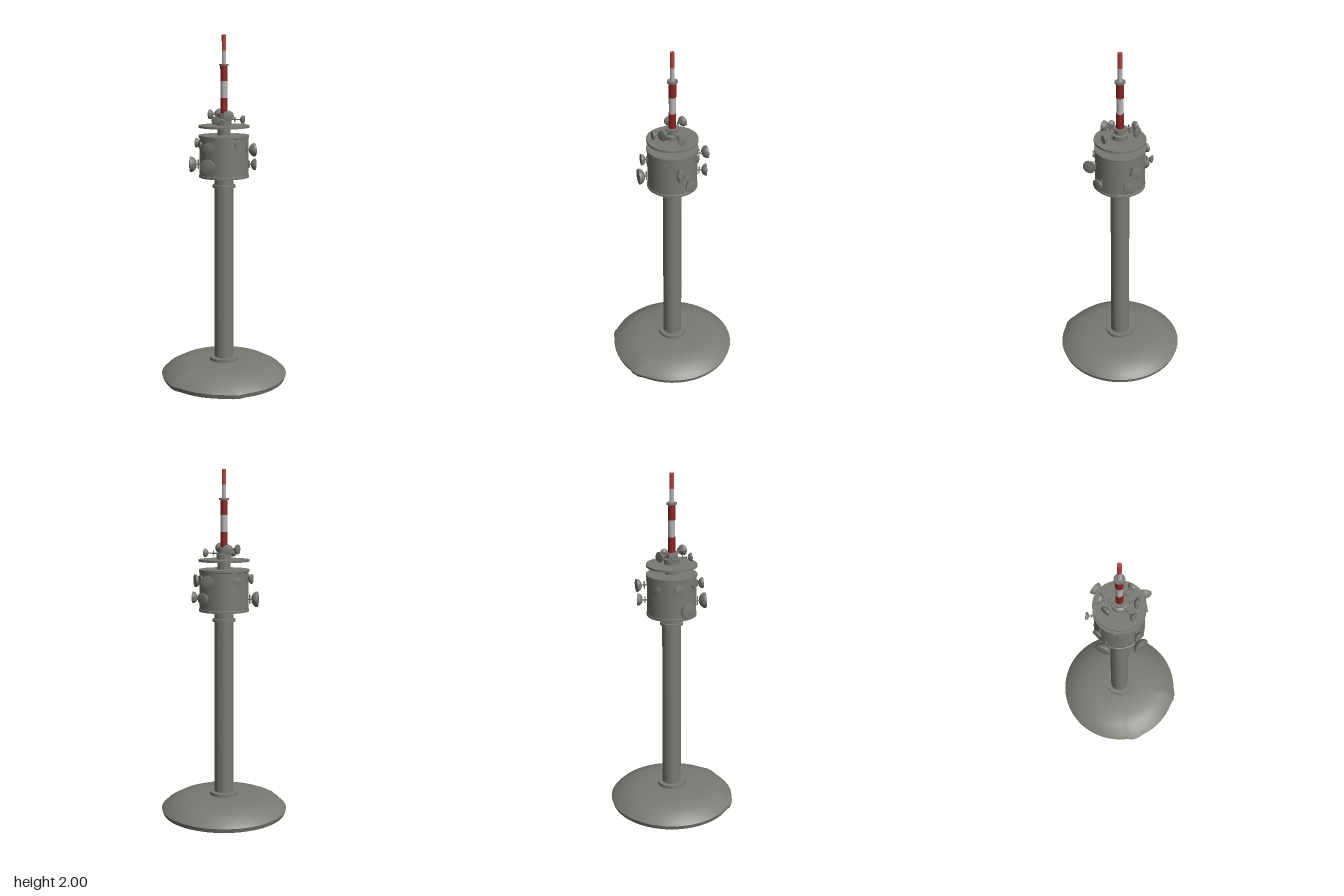
import * as THREE from 'three';
import { toCreasedNormals } from 'three/addons/utils/BufferGeometryUtils.js';

const mat = (name, color, side = THREE.FrontSide) =>
  Object.assign(new THREE.MeshStandardMaterial({ color, side }), { name });

export function createModel() {
  const concrete = mat('concrete grey', 0x787a73);
  const darkRed = mat('dark red', 0x8a2320);
  const red = mat('red', 0xb4433c);
  const white = mat('pale grey', 0xb4b6b2);

  const tower = new THREE.Group();
  tower.name = 'radioTower';

  const add = (name, geometry, material, parent = tower) => {
    const mesh = new THREE.Mesh(geometry, material);
    mesh.name = name;
    parent.add(mesh);
    return mesh;
  };
  const lathe = (profile, sides = 40, crease = 0.6) => toCreasedNormals(
    new THREE.LatheGeometry(profile.map(([r, y]) => new THREE.Vector2(r, y)), sides), crease);
  // Straight rod between two points
  const rod = (name, a, b, radius, parent) => {
    const d = b.clone().sub(a);
    const mesh = add(name, new THREE.CylinderGeometry(radius, radius, d.length(), 8), concrete, parent);
    mesh.position.copy(a).addScaledVector(d, 0.5);
    mesh.quaternion.setFromUnitVectors(new THREE.Vector3(0, 1, 0), d.normalize());
  };

  // Mound, slightly squared off at the front
  const mound = new THREE.LatheGeometry(
    [[0, 0], [0.362, 0], [0.37, 0.025], [0.345, 0.05], [0.285, 0.083], [0.22, 0.101], [0.1, 0.107], [0, 0.107]]
      .map(([r, y]) => new THREE.Vector2(r, y)), 64);
  const p = mound.attributes.position;
  for (let i = 0; i < p.count; i++) {
    const angle = Math.atan2(p.getX(i), p.getZ(i));
    const bulge = 1 + 0.035 * Math.exp(-(((Math.abs(angle) - 0.55) / 0.1) ** 2));
    p.setX(i, p.getX(i) * bulge);
    p.setZ(i, p.getZ(i) * bulge);
  }
  add('mound', toCreasedNormals(mound, 0.9), concrete);

  // Shaft with its foot ring and upper collar
  add('shaft', lathe([
    [0, 0.1], [0.085, 0.1], [0.085, 0.125], [0.056, 0.125], [0.054, 1.14], [0.066, 1.14],
    [0.066, 1.155], [0.056, 1.157], [0.056, 1.205],
  ]), concrete);

  // Equipment drum with a lip at both rims
  add('drum', lathe([
    [0, 1.2], [0.143, 1.2], [0.143, 1.212], [0.14, 1.214], [0.14, 1.425],
    [0.144, 1.427], [0.144, 1.44], [0, 1.44],
  ], 48), concrete);
  add('neck', lathe([
    [0.038, 1.435], [0.038, 1.5], [0.043, 1.5], [0.043, 1.525], [0.03, 1.53],
    [0.03, 1.555], [0.038, 1.555], [0.038, 1.563], [0, 1.563],
  ], 32), concrete);
  add('deck', lathe([[0, 1.484], [0.144, 1.484], [0.144, 1.496], [0, 1.496]], 48), concrete);

  // Striped mast: bottom, top, radius, colour
  [
    [1.56, 1.65, 0.021, darkRed],
    [1.65, 1.745, 0.019, white],
    [1.745, 1.83, 0.021, darkRed],
    [1.84, 1.915, 0.0125, white],
    [1.915, 2.0, 0.0125, red],
  ].forEach(([y0, y1, r, material]) => {
    add('mastSection', new THREE.CylinderGeometry(r, r, y1 - y0, 16), material).position.y = (y0 + y1) / 2;
  });
  add('mastFlange', new THREE.CylinderGeometry(0.029, 0.029, 0.01, 20), concrete).position.y = 1.835;

  // Shrouded dish facing outward, held by an arm from a wall of the given radius
  const dish = (x, y, z, r, nx, nz, wall) => {
    const group = new THREE.Group();
    group.name = 'dishAntenna';
    tower.add(group);
    const normal = new THREE.Vector3(nx, 0, nz).normalize();
    const face = new THREE.Vector3(x, y, z);
    const depth = r * 0.85;
    const bowl = add('dish', lathe([
      [0, -depth], [r * 0.45, -depth * 0.93], [r * 0.8, -depth * 0.65], [r, -depth * 0.3],
      [r, 0], [r * 0.6, r * 0.08], [0, r * 0.1],
    ], 24), concrete, group);
    bowl.position.copy(face);
    bowl.quaternion.setFromUnitVectors(new THREE.Vector3(0, 1, 0), normal);
    const back = face.clone().addScaledVector(normal, -depth * 0.9);
    const d = Math.hypot(back.x, back.z);
    const root = new THREE.Vector3(back.x / d * wall, y, back.z / d * wall);
    rod('arm', root, back, 0.004, group);
    const post = root.clone().lerp(back, 0.5);
    rod('post', post.clone().setY(y - r * 0.6), post.clone().setY(y + r * 0.6), 0.004, group);
  };

  // Dishes around the drum: x, y, z, radius, facing x, facing z
  [
    [-0.19, 1.27, 0.048, 0.045, -0.95, 0.3],
    [-0.175, 1.39, -0.005, 0.027, -1, 0.1],
    [-0.03, 1.275, 0.192, 0.044, -0.1, 1],
    [-0.03, 1.38, 0.175, 0.031, -0.1, 1],
    [0.02, 1.38, -0.2, 0.036, 0, -1],
    [0.055, 1.285, -0.185, 0.034, 0.35, -1],
    [0.177, 1.275, -0.043, 0.033, 1, -0.2],
    [0.19, 1.365, 0.015, 0.037, 0.75, -0.6],
    [-0.133, 1.385, -0.123, 0.021, -0.6, -0.8],
  ].forEach((d) => dish(...d, 0.135));

  // Dishes on the deck
  [
    [-0.06, 1.555, -0.088, 0.029, -0.45, -0.9],
    [-0.095, 1.555, -0.016, 0.028, -1, 0],
    [0.058, 1.555, 0.083, 0.03, 0.5, 0.85],
    [-0.01, 1.53, 0.113, 0.024, 0, 1],
    [0.115, 1.53, -0.012, 0.024, 1, 0],
  ].forEach((d) => dish(...d, 0.028));

  // Small flat antennas against the drum wall: angle from the front
  [-0.82, 0.9, 2.43].forEach((angle) => {
    const panel = add('panelAntenna', new THREE.CylinderGeometry(0.019, 0.016, 0.012, 16), concrete);
    panel.rotation.set(Math.PI / 2, 0, -angle);
    panel.position.set(Math.sin(angle) * 0.146, 1.39, Math.cos(angle) * 0.146);
  });

  return tower;
}
